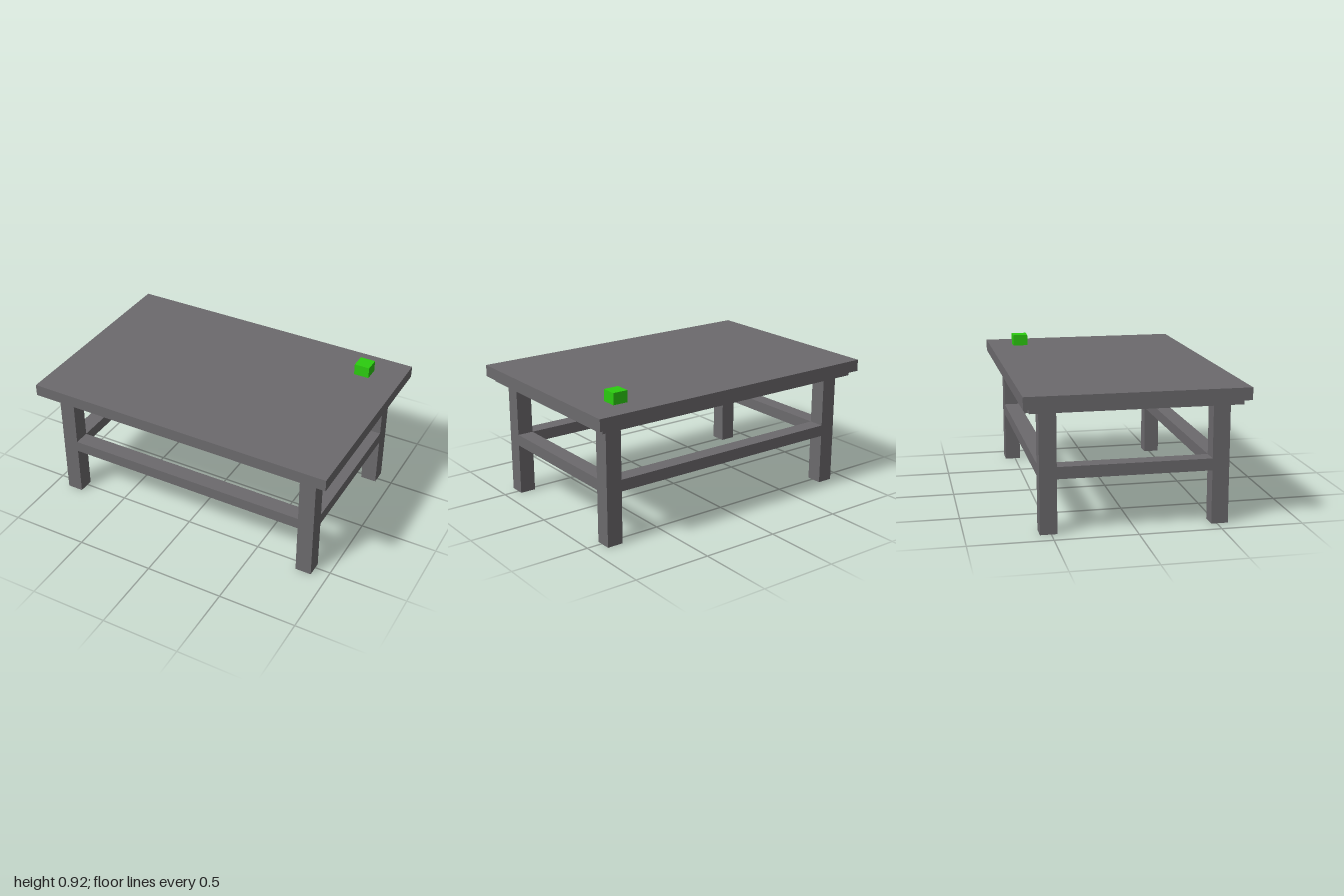
import * as THREE from 'three';

const wood = new THREE.MeshStandardMaterial({ color: 0x6c6a6d });
const green = new THREE.MeshStandardMaterial({ color: 0x2bcc0f });

// Box resting with its underside at y
function block(name, w, h, d, x, y, z, material = wood) {
  const mesh = new THREE.Mesh(new THREE.BoxGeometry(w, h, d), material);
  mesh.name = name;
  mesh.position.set(x, y + h / 2, z);
  return mesh;
}

export function createModel() {
  const table = new THREE.Group();
  table.name = 'table';

  const legX = 0.848, legZ = 0.516, leg = 0.103;
  const railY = 0.331, railH = 0.073;

  // Top board and the smaller slab beneath it
  table.add(block('tableTop', 2, 0.075, 1.333, 0, 0.768, 0));
  table.add(block('underSlab', 1.92, 0.032, 1.256, 0, 0.736, 0));

  // Legs, with rails as thick as the legs running between them
  for (const s of [-1, 1]) {
    for (const t of [-1, 1]) {
      const name = (t > 0 ? 'front' : 'back') + (s > 0 ? 'Left' : 'Right') + 'Leg';
      table.add(block(name, leg, 0.736, leg, s * legX, 0, t * legZ));
    }
    table.add(block(s > 0 ? 'frontRail' : 'backRail',
      2 * legX - leg, railH, leg, 0, railY, s * legZ));
    table.add(block(s > 0 ? 'leftRail' : 'rightRail',
      leg, railH, 2 * legZ - leg, s * legX, railY, 0));
  }

  // Small green block on the top
  table.add(block('greenBlock', 0.098, 0.073, 0.098, 0.754, 0.843, -0.458, green));

  return table;
}
